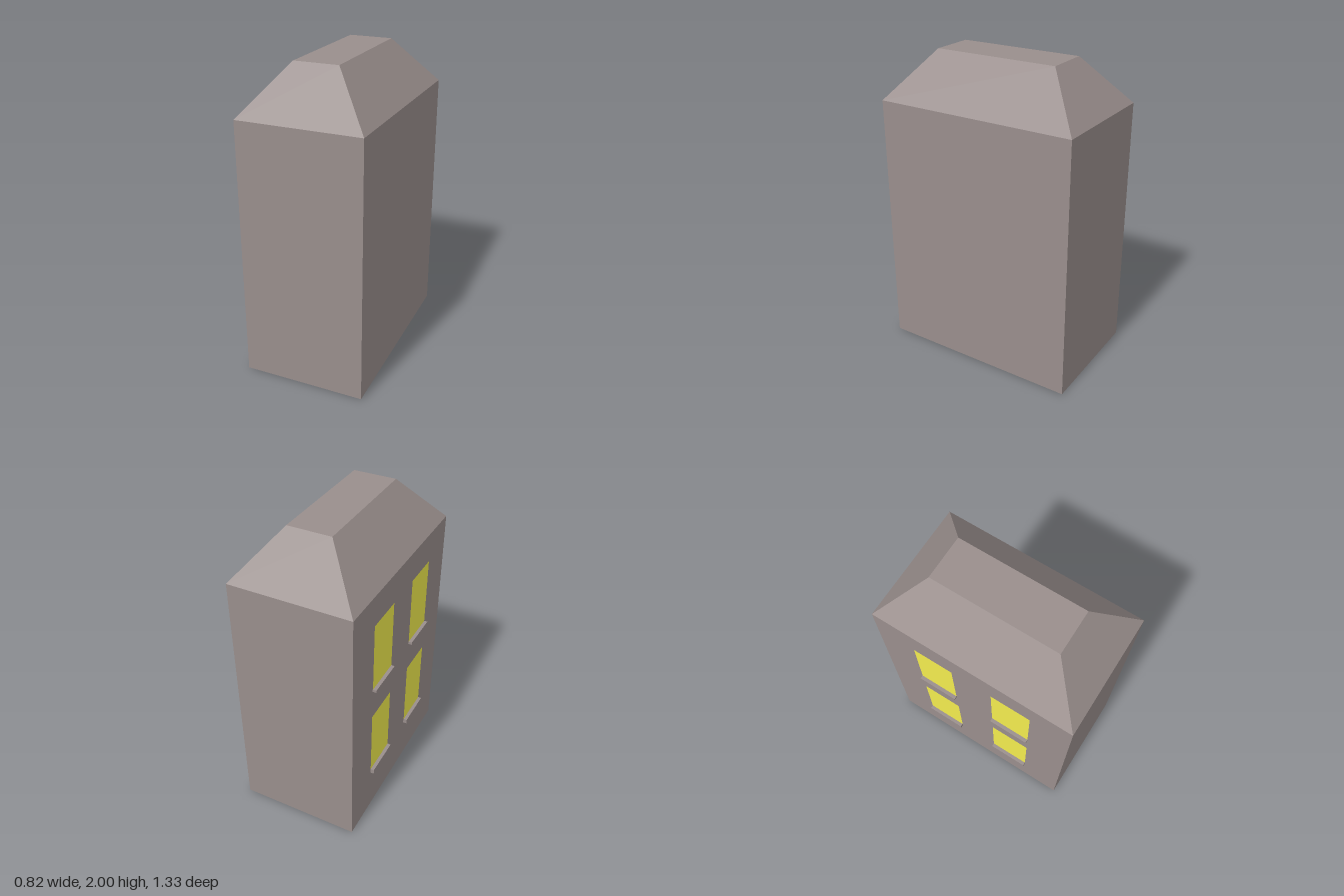
import * as THREE from 'three';

const WALL_X = -0.385, WIDTH = 0.795, DEPTH = 1.33;
const EAVES = 1.693, TOP = 2, INSET = 0.255;

export function createModel() {
  const model = new THREE.Group();
  const stone = new THREE.MeshStandardMaterial({ color: 0x998e8c, flatShading: true });
  const glow = new THREE.MeshStandardMaterial({ color: 0xf2ec4e });

  // Walls and hipped roof: a two-tier box whose top ring is drawn inwards
  const shell = new THREE.BoxGeometry(WIDTH, 2, DEPTH, 1, 2, 1);
  const p = shell.attributes.position;
  for (let i = 0; i < p.count; i++) {
    const y = p.getY(i);
    if (y > 0.5) {
      p.setX(i, p.getX(i) - Math.sign(p.getX(i)) * INSET);
      p.setZ(i, p.getZ(i) - Math.sign(p.getZ(i)) * INSET);
    }
    p.setY(i, y < -0.5 ? 0 : y > 0.5 ? TOP : EAVES);
  }
  shell.computeVertexNormals();
  const building = new THREE.Mesh(shell, stone);
  building.name = 'wallsAndRoof';
  building.position.x = WALL_X + WIDTH / 2;
  model.add(building);

  // Lit windows with sills on the model's right wall
  const windowWidth = 0.264, sillDepth = 0.025;
  const storeys = [
    { sillTop: 0.345, sillHeight: 0.033, height: 0.462 },
    { sillTop: 1.03, sillHeight: 0.018, height: 0.465 },
  ];
  for (const { sillTop, sillHeight, height } of storeys) {
    for (const z of [-0.268, 0.268]) {
      const unit = new THREE.Group();
      unit.name = 'window';
      unit.position.set(WALL_X, sillTop, z);

      const pane = new THREE.Mesh(new THREE.PlaneGeometry(windowWidth, height), glow);
      pane.name = 'windowPane';
      pane.rotation.y = -Math.PI / 2;
      pane.position.set(-0.002, height / 2, 0);

      const sill = new THREE.Mesh(new THREE.BoxGeometry(sillDepth, sillHeight, windowWidth), stone);
      sill.name = 'windowSill';
      sill.position.set(-sillDepth / 2, -sillHeight / 2, 0);

      unit.add(pane, sill);
      model.add(unit);
    }
  }
  return model;
}
